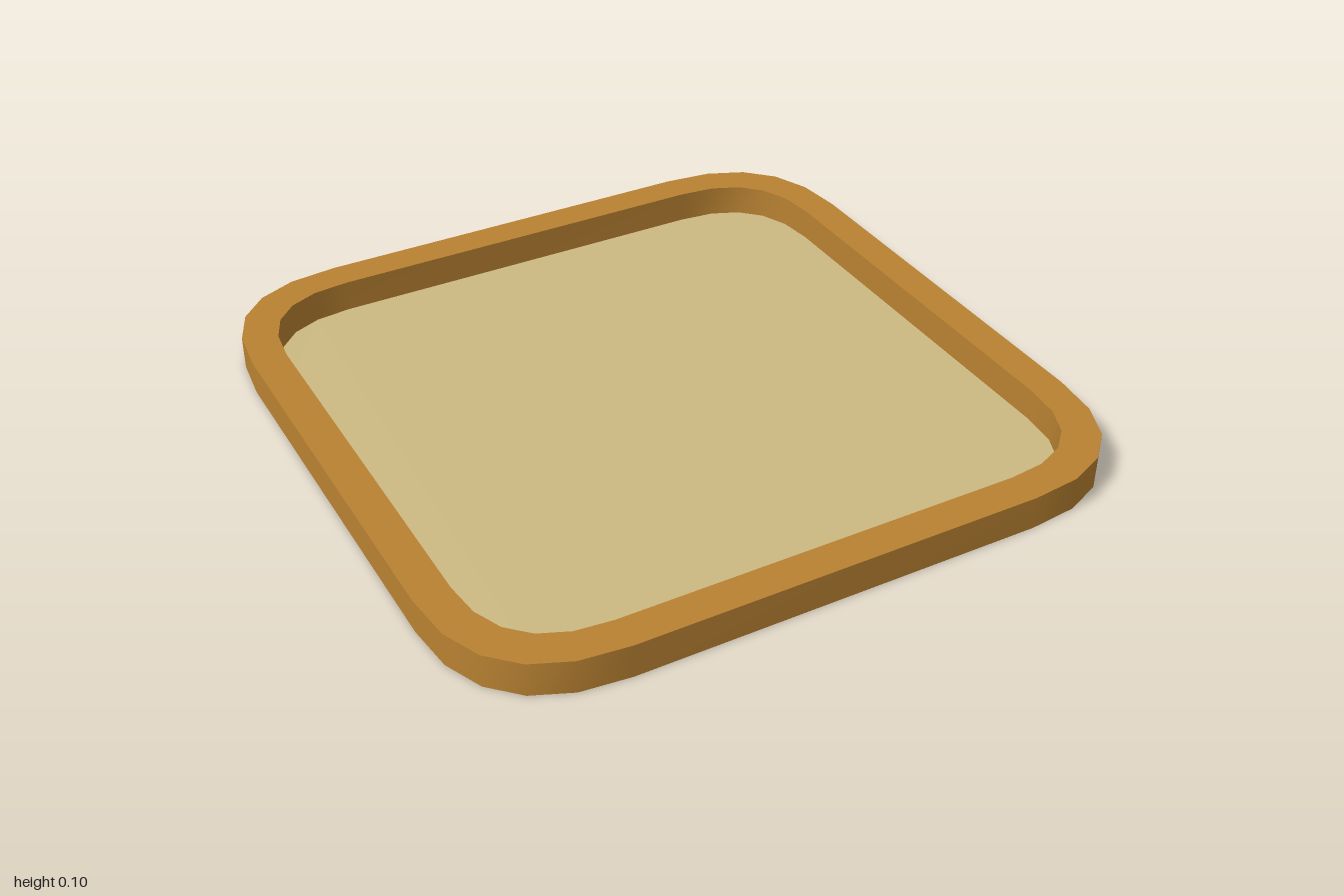
import * as THREE from 'three';

const HEIGHT = 0.1;
const frameMaterial = new THREE.MeshStandardMaterial({ color: 0xb98232, side: THREE.DoubleSide });
const floorMaterial = new THREE.MeshStandardMaterial({ color: 0xcdba82, side: THREE.DoubleSide });

// Counter-clockwise square outline with curved corners, five facets each
function outline(half, corner) {
  const s = half - corner;
  const shape = new THREE.Shape();
  shape.moveTo(-s, -half);
  shape.lineTo(s, -half);
  shape.quadraticCurveTo(half, -half, half, -s);
  shape.lineTo(half, s);
  shape.quadraticCurveTo(half, half, s, half);
  shape.lineTo(-s, half);
  shape.quadraticCurveTo(-half, half, -half, s);
  shape.lineTo(-half, -s);
  shape.quadraticCurveTo(-half, -half, -s, -half);
  return shape.getPoints(5).slice(0, -1);
}

// Upright band following an outline, smooth around the corners
function wall(points) {
  const positions = [];
  const index = [];
  const n = points.length;
  points.forEach((p, i) => {
    positions.push(p.x, 0, -p.y, p.x, HEIGHT, -p.y);
    const a = 2 * i;
    const b = 2 * ((i + 1) % n);
    index.push(a, b, b + 1, a, b + 1, a + 1);
  });
  const geometry = new THREE.BufferGeometry();
  geometry.setAttribute('position', new THREE.Float32BufferAttribute(positions, 3));
  geometry.setIndex(index);
  geometry.computeVertexNormals();
  return geometry;
}

// Flat, upward-facing sheet at height y
function sheet(points, y, hole) {
  const shape = new THREE.Shape(points);
  if (hole) shape.holes.push(new THREE.Path(hole));
  return new THREE.ShapeGeometry(shape).rotateX(-Math.PI / 2).translate(0, y, 0);
}

export function createModel() {
  const tray = new THREE.Group();
  tray.name = 'tray';
  const add = (name, geometry, material) => {
    const mesh = new THREE.Mesh(geometry, material);
    mesh.name = name;
    tray.add(mesh);
  };

  const outer = outline(1, 0.4);
  const inner = outline(0.897, 0.3);

  // Hollow frame, open underneath
  add('outerWall', wall(outer), frameMaterial);
  add('innerWall', wall([...inner].reverse()), frameMaterial);
  add('rimTop', sheet(outer, HEIGHT, inner), frameMaterial);

  // Thin floor panel inside the frame
  add('floorPanel', sheet(inner, 0.004), floorMaterial);

  return tray;
}
